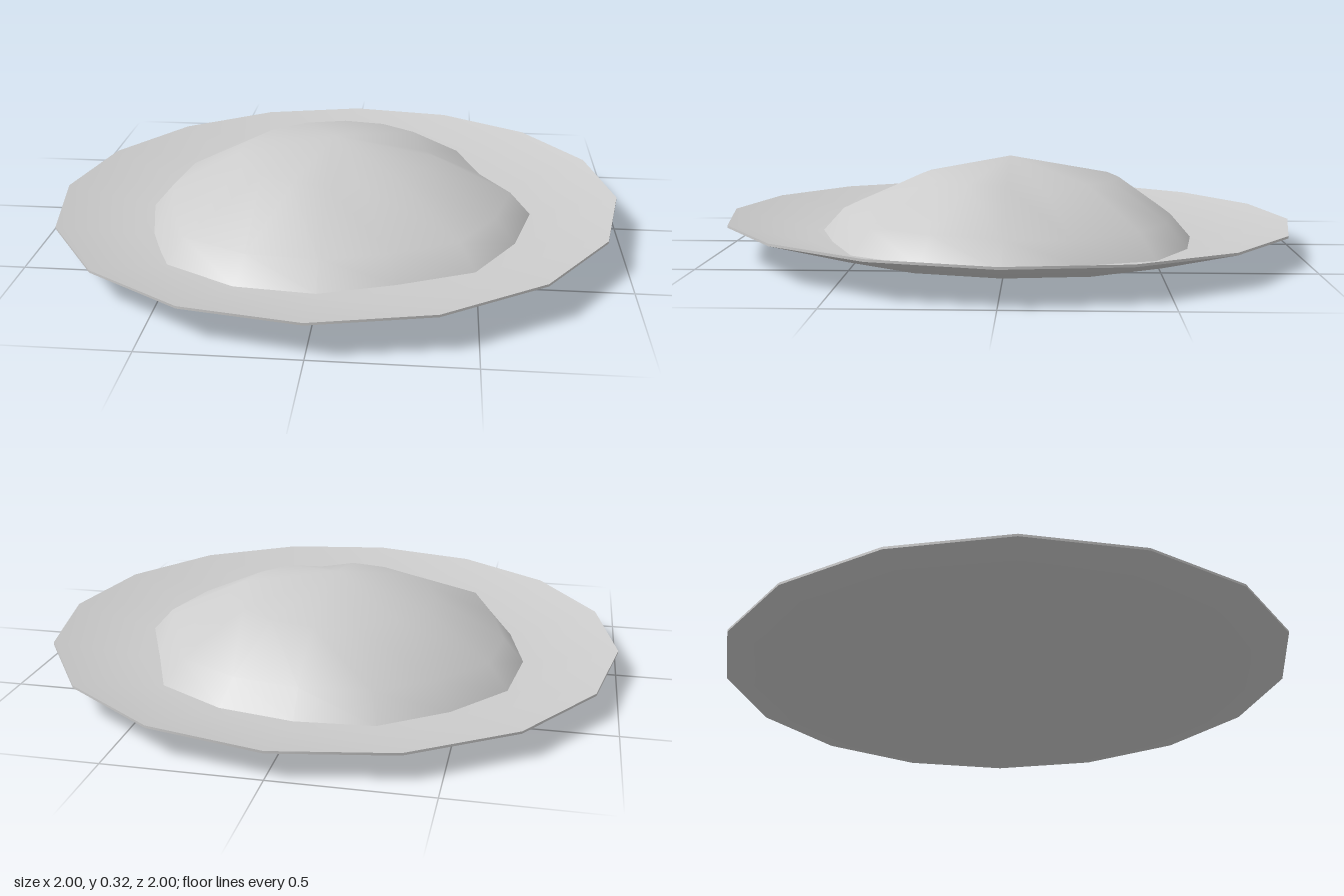
import * as THREE from 'three';

const SIDES = 16;
const grey = () => new THREE.MeshStandardMaterial({ color: 0xcccccc, side: THREE.DoubleSide });

// Outer radius of the mound every 22.5 degrees, from +x towards +z
const EDGE = [0.70, 0.685, 0.70, 0.65, 0.68, 0.70, 0.73, 0.67, 0.68, 0.695, 0.67, 0.68, 0.655, 0.665, 0.69, 0.64];

function lathe(name, profile) {
  const points = profile.map(([r, y]) => new THREE.Vector2(r, y));
  const mesh = new THREE.Mesh(new THREE.LatheGeometry(points, SIDES), grey());
  mesh.name = name;
  return mesh;
}

// Lumpy heap: an apex and three irregular rings, smooth shaded
function moundGeometry() {
  const positions = [0, 0.32, 0];
  const index = [];
  for (let ring = 0; ring < 3; ring++) {
    for (let i = 0; i < SIDES; i++) {
      const a = (i / SIDES) * Math.PI * 2;
      const edge = EDGE[i];
      const dent = i === 15 ? 1 : i === 3 ? 0.5 : 0; // hollows on the flank
      const mid = 0.355 - 0.035 * Math.sin(a) - 0.03 * dent;
      const r = [mid, edge - 0.075, edge][ring];
      const y = [0.25 - 0.025 * dent, 0.118 - 0.015 * dent, 0.034][ring];
      positions.push(r * Math.cos(a), y, r * Math.sin(a));
      const next = (i + 1) % SIDES;
      const row = 1 + ring * SIDES;
      if (ring === 0) index.push(0, row + next, row + i);
      else {
        const up = row - SIDES;
        index.push(up + i, up + next, row + i, up + next, row + next, row + i);
      }
    }
  }
  const geometry = new THREE.BufferGeometry();
  geometry.setAttribute('position', new THREE.Float32BufferAttribute(positions, 3));
  geometry.setIndex(index);
  geometry.computeVertexNormals();
  return geometry;
}

export function createModel() {
  const model = new THREE.Group();
  model.name = 'plateOfFood';

  // Shallow sixteen-sided plate; separate surfaces keep the rim crisp
  const plate = new THREE.Group();
  plate.name = 'plate';
  plate.add(
    lathe('plateUnderside', [[0, 0.0155], [0.71, 0.0155], [1, 0.1]]),
    lathe('plateRim', [[1, 0.1], [1, 0.108]]),
    lathe('plateTop', [[1, 0.108], [0.7, 0.036], [0, 0.034]])
  );

  const mound = new THREE.Mesh(moundGeometry(), grey());
  mound.name = 'foodMound';

  // Everything leans slightly towards the back right
  const tilted = new THREE.Group();
  tilted.name = 'tiltedPlate';
  tilted.rotation.set(-0.013, 0, 0.015);
  tilted.rotation.x *= -1; // front edge sits higher
  tilted.rotation.x = -Math.abs(tilted.rotation.x);
  tilted.add(plate, mound);
  model.add(tilted);
  return model;
}
